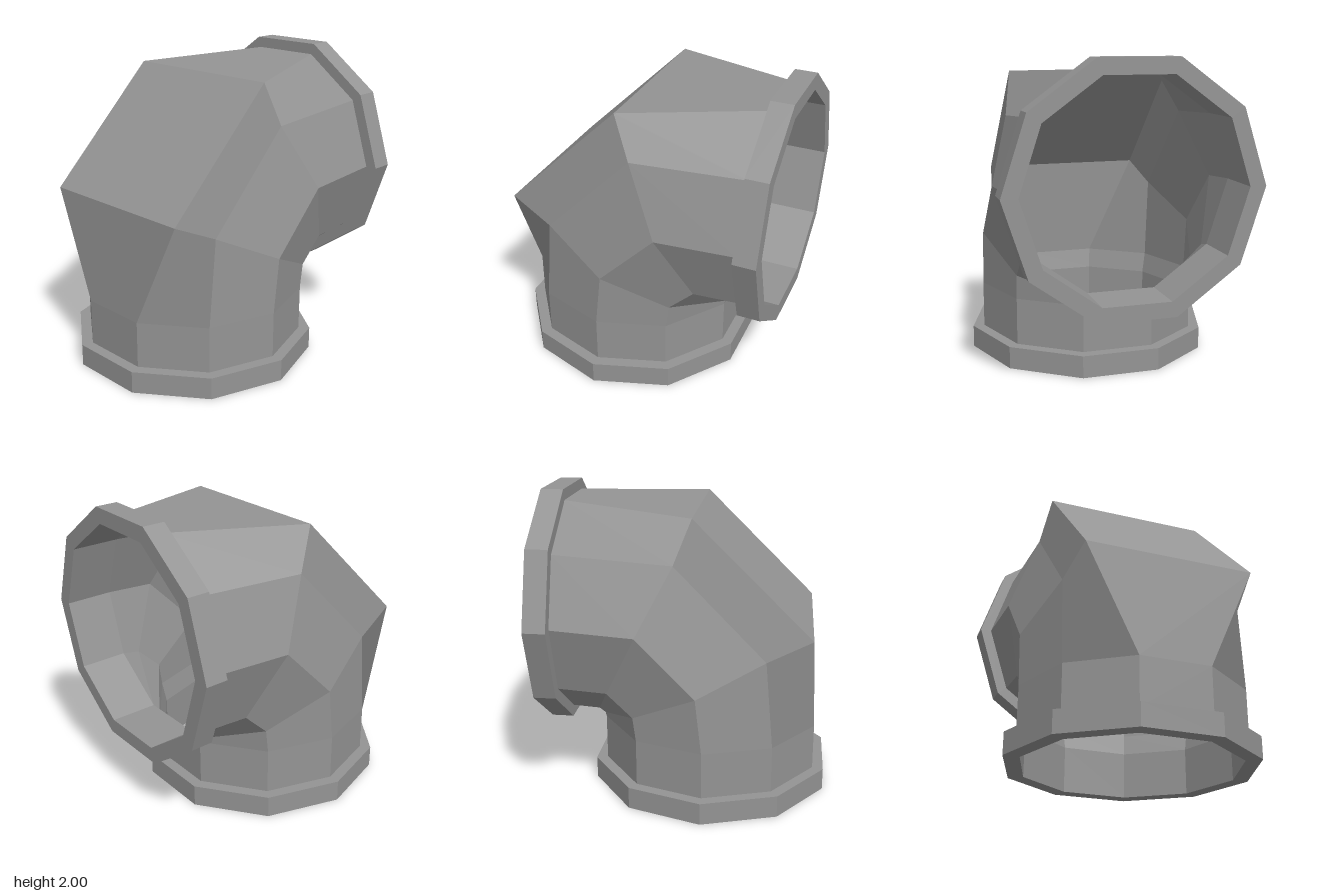
import * as THREE from 'three';

const material = (flatShading) =>
  new THREE.MeshStandardMaterial({ color: 0x949494, flatShading, side: THREE.DoubleSide });

// Decagon spacing along the cross-section, from outside of the bend to inside
const STEPS = [-0.951, -0.588, 0, 0.588, 0.951];
const WIDTHS = [0.309, 0.809, 1, 0.809, 0.309];

// Mirror five [x, y, z] points into a closed ten-point ring
const mirrorRing = (half) => [...half, ...half.map(([x, y, z]) => [x, y, -z]).reverse()];

// Ring lying flat at height y, and ring standing upright at distance x
const flatRing = (y, r) => mirrorRing(STEPS.map((s, i) => [-0.15 + s * r, y, WIDTHS[i] * r]));
const uprightRing = (x, r) => mirrorRing(STEPS.map((s, i) => [x, 1.225 - s * r, WIDTHS[i] * r]));

// Skin a list of rings, with one flat normal for each four-sided panel
function loft(rings) {
  const positions = [];
  const normals = [];
  for (let i = 0; i < rings.length - 1; i++) {
    rings[i].forEach((a, j) => {
      const k = (j + 1) % rings[i].length;
      const b = rings[i][k], c = rings[i + 1][k], d = rings[i + 1][j];
      const ac = new THREE.Vector3(...c).sub(new THREE.Vector3(...a));
      const bd = new THREE.Vector3(...d).sub(new THREE.Vector3(...b));
      const normal = ac.cross(bd).normalize().toArray();
      for (const p of [a, b, c, a, c, d]) {
        positions.push(...p);
        normals.push(...normal);
      }
    });
  }
  const geometry = new THREE.BufferGeometry();
  geometry.setAttribute('position', new THREE.Float32BufferAttribute(positions, 3));
  geometry.setAttribute('normal', new THREE.Float32BufferAttribute(normals, 3));
  return geometry;
}

export function createModel() {
  const group = new THREE.Group();
  const add = (name, geometry, flatShading = false) => {
    const mesh = new THREE.Mesh(geometry, material(flatShading));
    mesh.name = name;
    group.add(mesh);
    return mesh;
  };

  // Bend rings, with the outer corner flared wide
  const lower = flatRing(0.45, 0.74);
  const middle = mirrorRing([[-0.82, 1.15, 0.55], [-0.535, 1.02, 0.6], [-0.11, 0.81, 0.74], [0.305, 0.61, 0.6], [0.56, 0.48, 0.23]]);
  const upper = mirrorRing([[-0.07, 1.89, 0.55], [0.04, 1.61, 0.6], [0.26, 1.19, 0.74], [0.47, 0.77, 0.6], [0.6, 0.51, 0.23]]);
  add('elbowPipe', loft([flatRing(0.14, 0.74), lower, middle, upper, uprightRing(0.785, 0.74)]));

  // Narrower sleeves lining both openings
  add('bottomSleeve', loft([flatRing(0, 0.71), flatRing(0.31, 0.71), lower]));
  add('sideSleeve', loft([upper, uprightRing(0.61, 0.71), uprightRing(0.925, 0.71)]));

  // Flanges at both openings
  const profile = [[0.71, 0], [0.815, 0], [0.815, 0.145], [0.73, 0.145]].map(([x, y]) => new THREE.Vector2(x, y));
  const flange = new THREE.LatheGeometry(profile, 10);
  add('bottomFlange', flange, true).position.set(-0.15, 0, 0);
  const side = add('sideFlange', flange, true);
  side.rotation.z = Math.PI / 2;
  side.position.set(0.925, 1.225, 0);

  return group;
}
